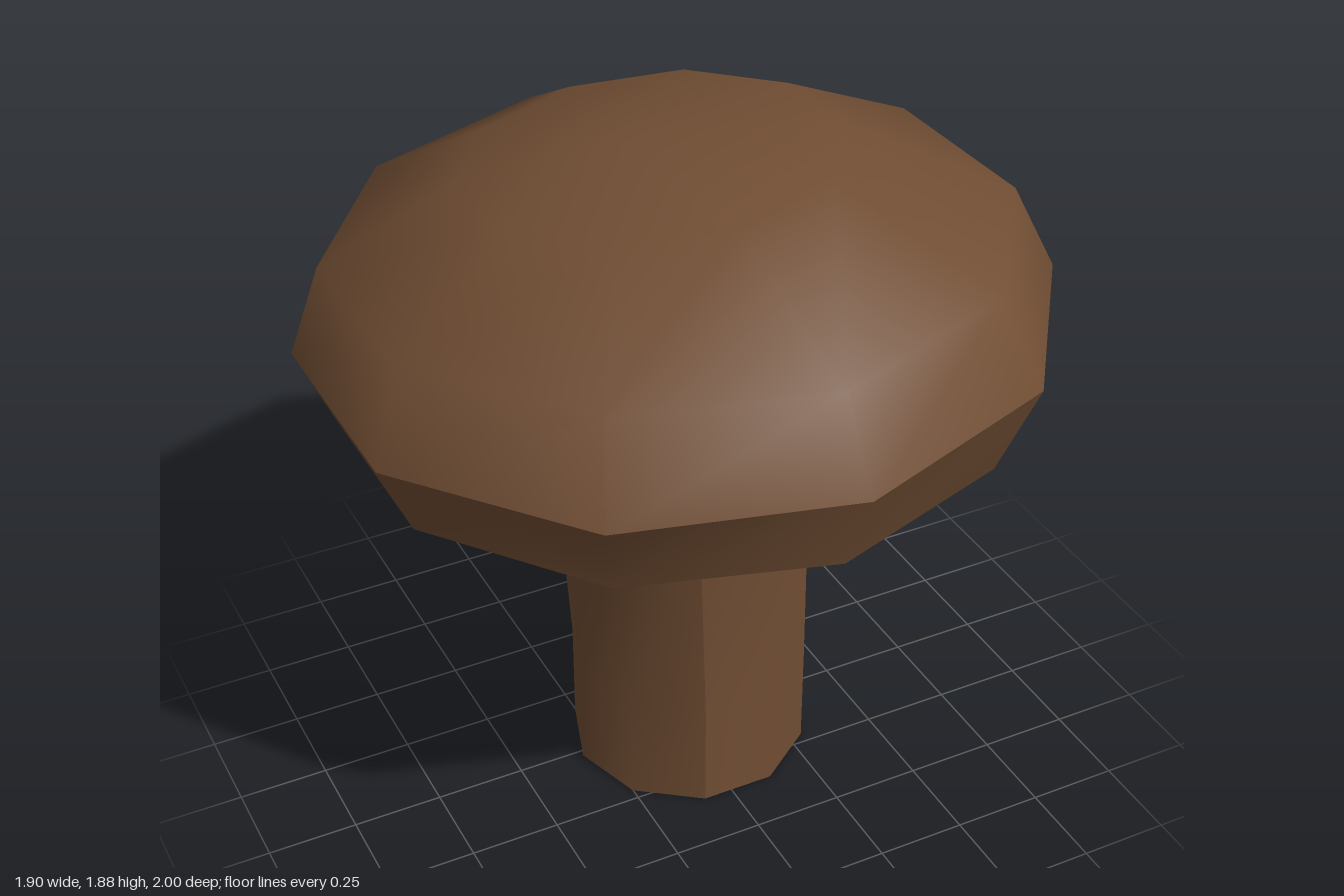
import * as THREE from 'three';
import { mergeVertices } from 'three/addons/utils/BufferGeometryUtils.js';

const SIDES = 10;
const brown = new THREE.MeshStandardMaterial({ color: 0x704d33, side: THREE.DoubleSide });
const beige = new THREE.MeshStandardMaterial({ color: 0xbca882, side: THREE.DoubleSide });

// Cross-section: radius, height, centre offset, and slope of its plane along x and z.
const ring = (r, y, cx = 0, cz = 0, sx = 0, sz = 0) => ({ r, y, cx, cz, sx, sz });

// Joins rings with ten-sided bands. panel = sides per smooth group (0: smooth all round).
function loft(name, rings, material, turn = 0, panel = 0) {
  const pos = [], index = [];
  const group = panel || SIDES;
  for (let start = 0; start < SIDES; start += group) {
    const base = pos.length / 3, row = group + 1;
    rings.forEach((k, j) => {
      for (let i = 0; i <= group; i++) {
        const a = turn + (((start + i) % SIDES) / SIDES) * Math.PI * 2;
        const dx = k.r * Math.sin(a), dz = k.r * Math.cos(a);
        pos.push(k.cx + dx, k.y + k.sx * dx + k.sz * dz, k.cz + dz);
        if (j === 0 || i === 0) continue;
        const d = base + j * row + i, c = d - 1, b = d - row, e = b - 1;
        index.push(e, b, d, e, d, c);
      }
    });
  }
  let geo = new THREE.BufferGeometry();
  geo.setAttribute('position', new THREE.Float32BufferAttribute(pos, 3));
  geo.setIndex(index);
  if (!panel) geo = mergeVertices(geo, 1e-5);
  geo.computeVertexNormals();
  const mesh = new THREE.Mesh(geo, material);
  mesh.name = name;
  return mesh;
}

export function createModel() {
  const model = new THREE.Group();
  model.name = 'mushroom';

  // Stem: leaning slightly and flaring up into the cap
  const turn = -Math.PI / 10;
  const foot = ring(0.335, 0, 0.02, 0.02);
  const stem = new THREE.Group();
  stem.name = 'stem';
  stem.add(
    loft('stemSide', [
      foot,
      ring(0.335, 0.3, 0.02, 0.02),
      ring(0.353, 0.97, 0, 0.01, 0.15, 0.03),
      ring(0.44, 1.16, -0.04, 0, 0.08, 0.03),
      ring(0.48, 1.3, -0.03, 0, 0.05, 0.02),
    ], brown, turn, 2),
    loft('stemBase', [ring(0, 0, 0.02, 0.02), foot], beige, turn),
  );

  // Cap: tilted rings, lowest at the back left corner of the rim
  const gillEdge = ring(0.63, 1.24, 0, 0, 0.06, 0.03);
  const lip = ring(0.69, 1.14, 0, 0, 0.06, 0.03);
  const lowerRim = ring(0.895, 1.165, -0.01, 0.01, 0.015, 0.02);
  const rim = ring(1, 1.4, 0, 0, 0.042, 0.02);
  const cap = new THREE.Group();
  cap.name = 'cap';
  cap.add(
    loft('gills', [ring(0, 1.34), ring(0.4, 1.34, 0, 0, 0.05, 0.02), gillEdge], beige),
    loft('innerWall', [gillEdge, lip], brown),
    loft('capLip', [lip, lowerRim], brown),
    loft('capSide', [lowerRim, rim], brown),
    loft('capTop', [
      rim,
      ring(0.9, 1.632, -0.01, -0.02, 0.04, 0.028),
      ring(0.497, 1.825, -0.04, -0.07, 0.08, 0.055),
      ring(0, 1.88, -0.13, -0.1),
    ], brown),
  );

  model.add(stem, cap);
  return model;
}
